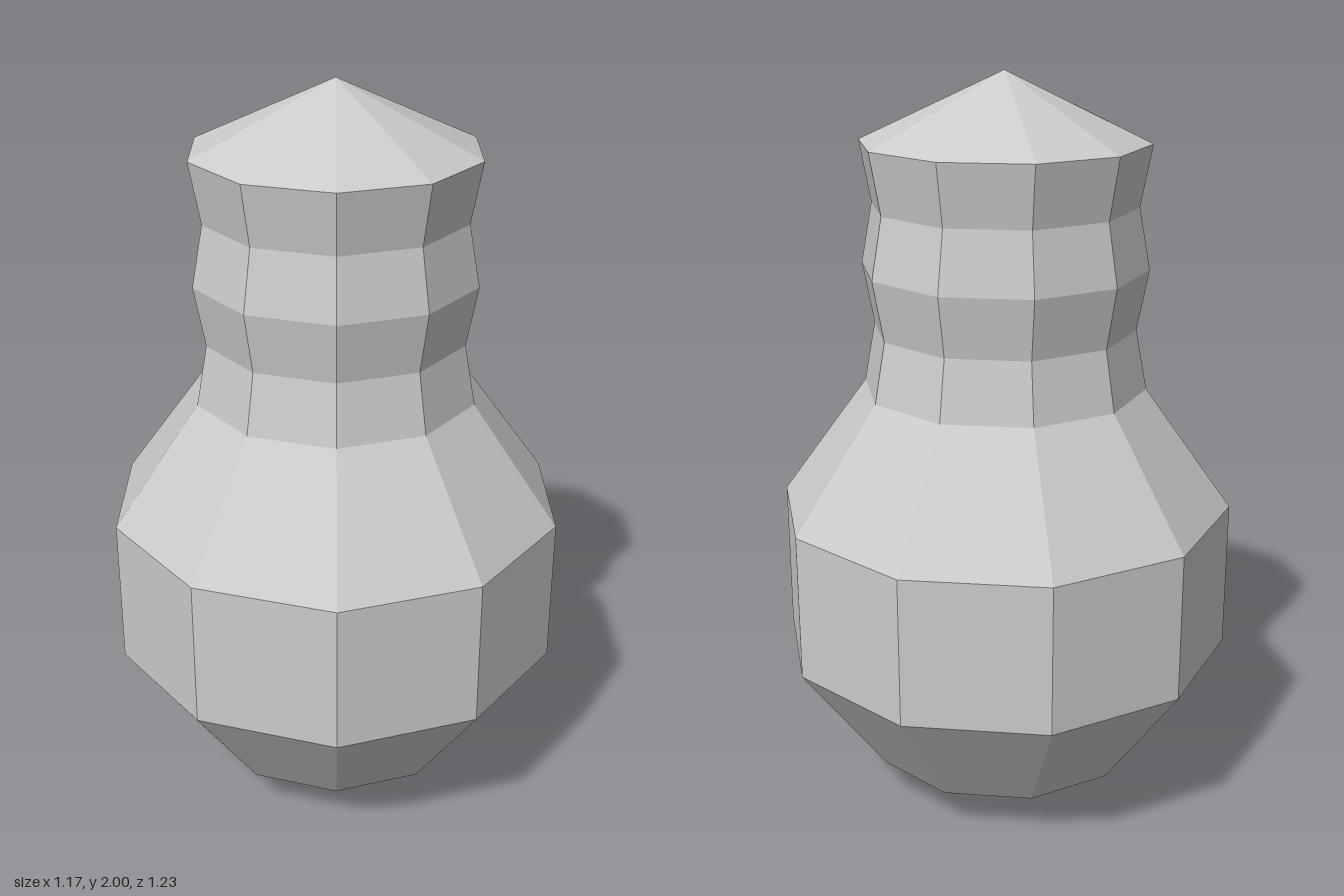
import * as THREE from 'three';

const SIDES = 10;
const NECK_R = 0.38;
const WAIST_R = 0.35;
const BELLY_R = 0.615;

export function createModel() {
  const model = new THREE.Group();
  model.name = 'bulb';
  const material = new THREE.MeshStandardMaterial({ color: 0xcccccc, flatShading: true });

  // Faceted ring-shaped part from a [radius, height] profile, bottom to top
  const addPart = (name, profile) => {
    const points = profile.map(([r, y]) => new THREE.Vector2(r, y));
    const mesh = new THREE.Mesh(new THREE.LatheGeometry(points, SIDES), material);
    mesh.name = name;
    model.add(mesh);
  };

  // Shallow cone under the belly
  addPart('bottomTip', [[0, 0], [NECK_R, 0.125]]);

  // Wide belly with sloping shoulders
  addPart('belly', [[NECK_R, 0.125], [BELLY_R, 0.45], [BELLY_R, 0.85], [NECK_R, 1.175]]);

  // Ribbed neck, alternating wide and narrow rings
  const neck = [];
  for (let i = 0; i <= 4; i++) neck.push([i % 2 ? WAIST_R : NECK_R, 1.175 + i * 0.1615]);
  addPart('ribbedNeck', neck);

  // Pointed cap
  addPart('cap', [[NECK_R, 1.821], [0, 2]]);

  return model;
}
